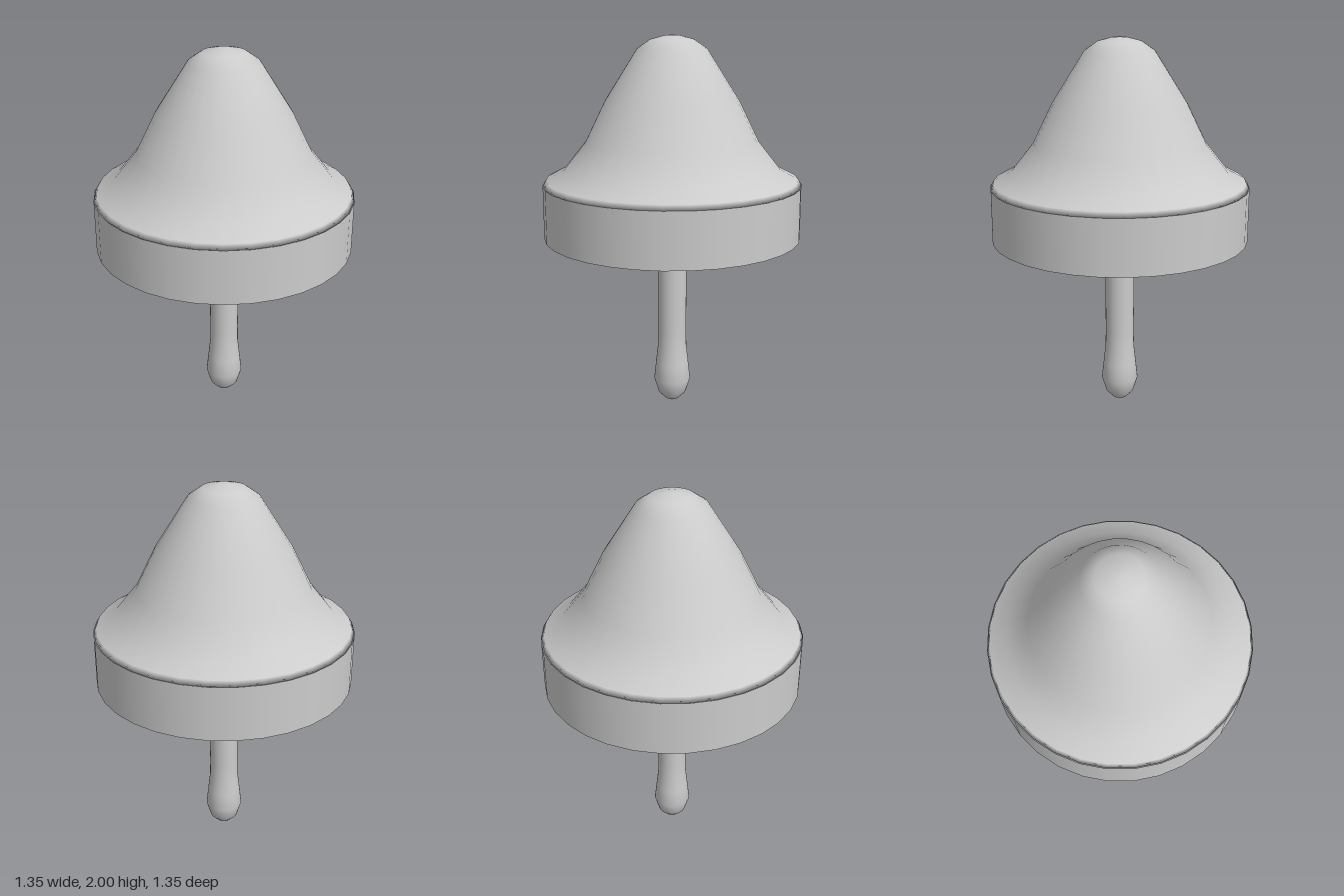
import * as THREE from 'three';

// Revolve a bottom-to-top profile of [radius, height] pairs around the y axis
function turned(name, profile, material, segments = 32) {
  const points = profile.map(([r, y]) => new THREE.Vector2(r, y));
  const mesh = new THREE.Mesh(new THREE.LatheGeometry(points, segments), material);
  mesh.name = name;
  return mesh;
}

export function createModel() {
  const model = new THREE.Group();
  model.name = 'bellCapOnStem';
  const shell = new THREE.MeshStandardMaterial({ color: 0xcccccc, side: THREE.DoubleSide });
  const solid = new THREE.MeshStandardMaterial({ color: 0xcccccc });

  // Bell-shaped cap, closed below by a shallow recessed ceiling
  model.add(turned('cap', [
    [0, 1.3], [0.3, 1.298], [0.56, 1.285], [0.65, 1.262],
    [0.674, 1.237], [0.66, 1.264], [0.567, 1.312], [0.45, 1.46],
    [0.348, 1.668], [0.18, 1.932], [0.112, 1.979], [0.035, 1.999], [0, 2],
  ], solid));

  // Thin upright band, open at the bottom
  model.add(turned('rimBand', [[0.677, 0.953], [0.677, 1.238]], shell));

  // Stem with a rounded, swollen tip, ending in the ceiling
  model.add(turned('stem', [
    [0, 0.005], [0.012, 0.006], [0.038, 0.019], [0.075, 0.057], [0.099, 0.135],
    [0.089, 0.23], [0.078, 0.33], [0.077, 0.42], [0.077, 1.31],
  ], solid));

  return model;
}
